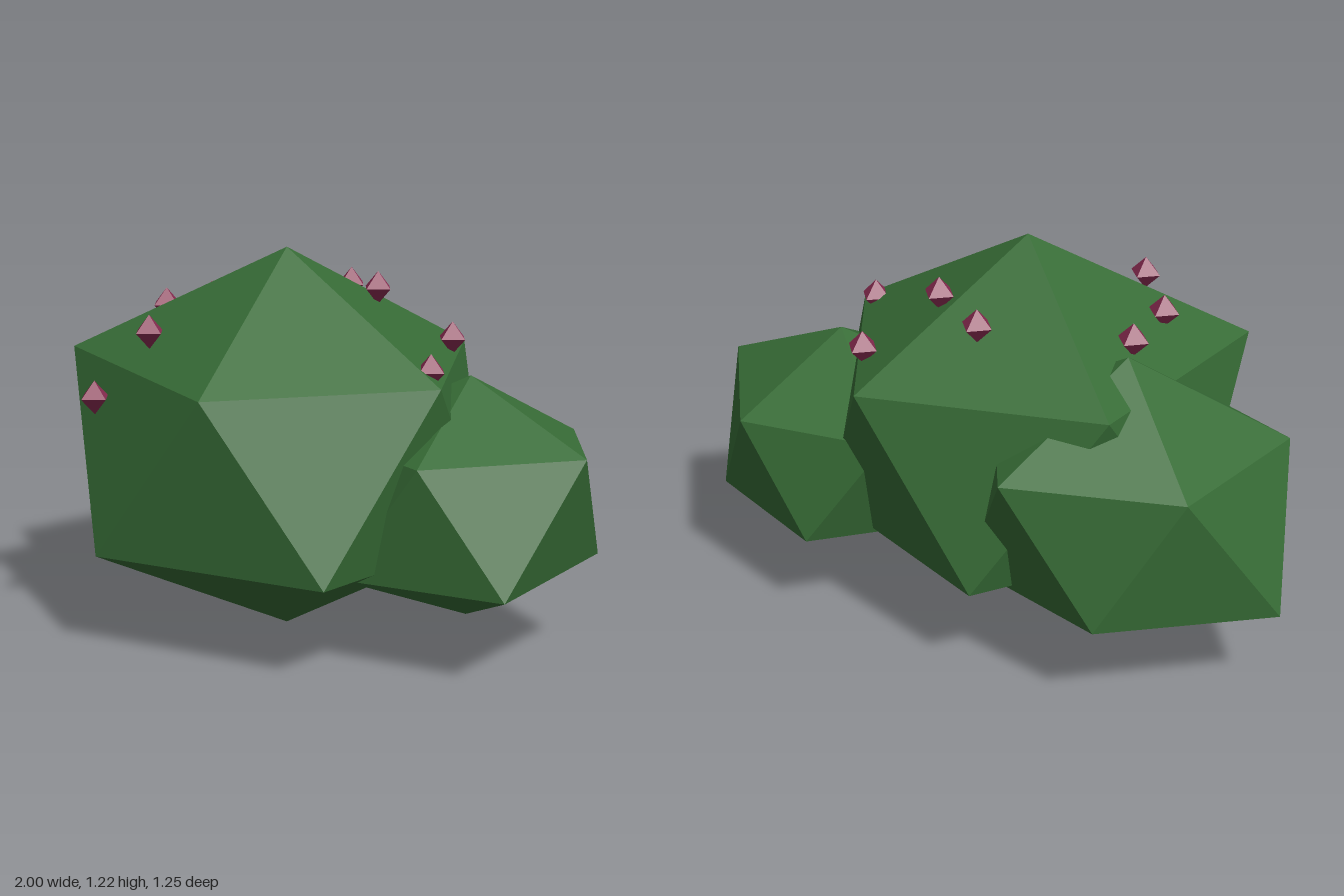
import * as THREE from 'three';

const leafGreen = new THREE.MeshStandardMaterial({ color: 0x376c36 });
leafGreen.name = 'leafGreen';
const berryRed = new THREE.MeshStandardMaterial({ color: 0x8a2c52 });
berryRed.name = 'berryRed';

// Irregular twenty-sided clump: apex, ring of five, staggered ring of five, base point
function clump(name, top, upper, lower, bottom) {
  const pos = [];
  const tri = (a, b, c) => pos.push(...a, ...b, ...c);
  for (let i = 0; i < 5; i++) {
    const j = (i + 1) % 5;
    tri(top, upper[j], upper[i]);
    tri(upper[i], upper[j], lower[i]);
    tri(upper[j], lower[j], lower[i]);
    tri(bottom, lower[i], lower[j]);
  }
  const geometry = new THREE.BufferGeometry();
  geometry.setAttribute('position', new THREE.Float32BufferAttribute(pos, 3));
  geometry.computeVertexNormals(); // unshared corners give flat facets
  const mesh = new THREE.Mesh(geometry, leafGreen);
  mesh.name = name;
  return mesh;
}

export function createModel() {
  const bush = new THREE.Group();
  bush.name = 'berryBush';

  // Leaf clumps
  bush.add(clump('mainClump', [0, 1.22, 0],
    [[0.64, 0.865, 0], [0.18, 0.84, 0.54], [-0.56, 0.885, 0.4], [-0.54, 0.89, -0.39], [0.2, 0.87, -0.62]],
    [[0.54, 0.31, 0.385], [-0.2, 0.31, 0.625], [-0.62, 0.35, 0], [-0.2, 0.315, -0.61], [0.52, 0.32, -0.38]],
    [0, 0, 0]));
  bush.add(clump('rightClump', [-0.46, 0.99, -0.16],
    [[0.02, 0.72, -0.16], [-0.32, 0.72, 0.3], [-0.86, 0.72, 0.12], [-0.815, 0.72, -0.41], [-0.32, 0.73, -0.63]],
    [[-0.07, 0.3, 0.13], [-0.62, 0.31, 0.3], [-1, 0.29, -0.16], [-0.6, 0.3, -0.56], [-0.08, 0.3, -0.45]],
    [-0.47, 0.14, -0.16]));
  bush.add(clump('leftClump', [0.55, 0.86, -0.24],
    [[0.995, 0.675, -0.24], [0.665, 0.65, 0.13], [0.19, 0.65, 0.02], [0.19, 0.65, -0.5], [0.665, 0.65, -0.61]],
    [[0.93, 0.285, 0.04], [0.42, 0.28, 0.2], [0.1, 0.3, -0.24], [0.42, 0.3, -0.615], [0.87, 0.315, -0.48]],
    [0.55, 0.1, -0.24]));

  // Berries scattered over the top
  const berryShape = new THREE.OctahedronGeometry(0.053);
  const spots = [
    [-0.055, 1.06, -0.35], [0.15, 1.08, -0.255], [0.32, 0.92, -0.42], [0.555, 0.9, -0.05],
    [-0.425, 1.005, -0.075], [-0.4, 1.01, 0.145], [-0.17, 0.985, 0.42], [-0.31, 0.775, 0.525],
  ];
  spots.forEach((spot, i) => {
    const berry = new THREE.Mesh(berryShape, berryRed);
    berry.position.set(...spot);
    berry.name = `berry${i + 1}`;
    bush.add(berry);
  });
  return bush;
}
